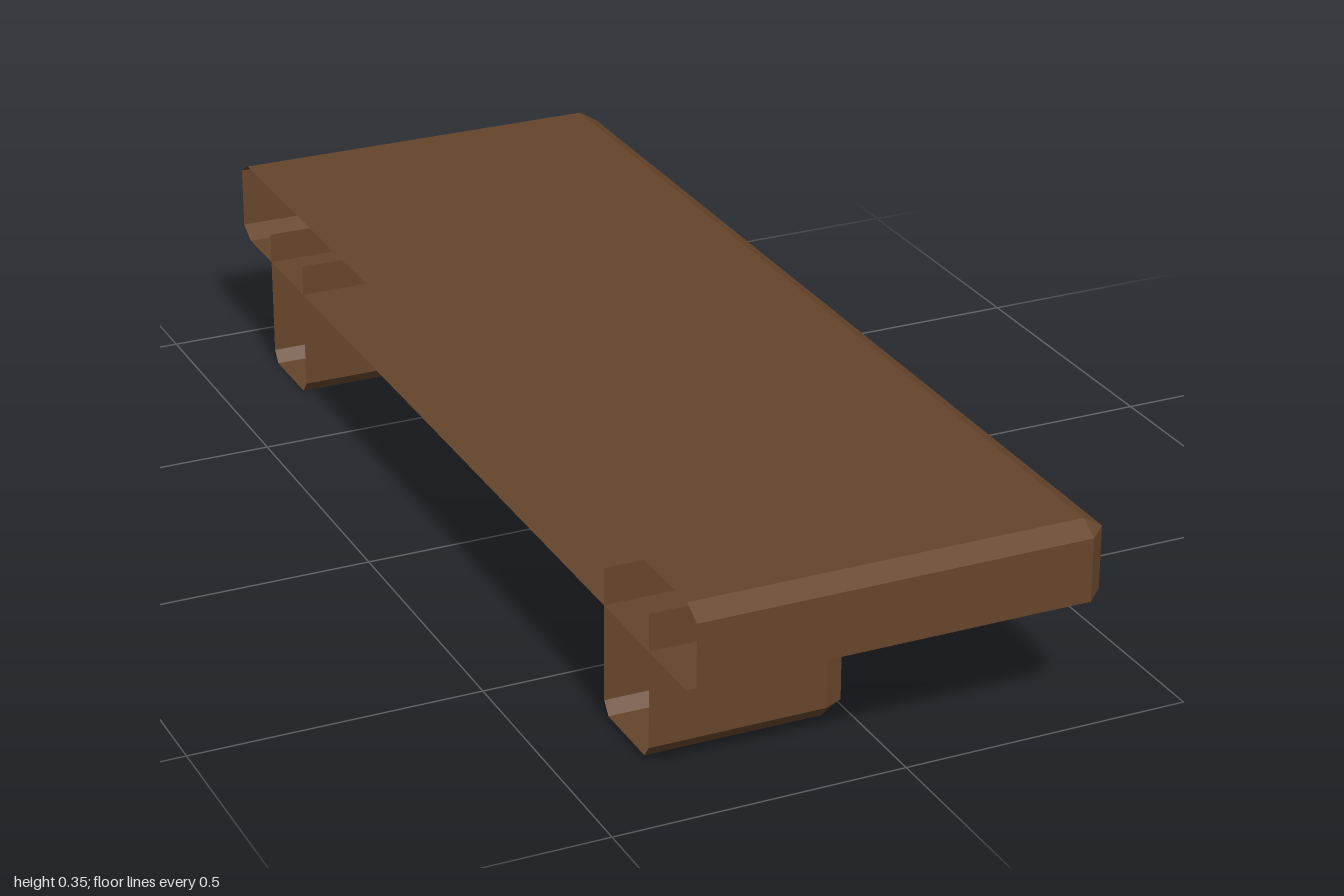
import * as THREE from 'three';

const wood = new THREE.MeshStandardMaterial({ color: 0x66452b, flatShading: true, side: THREE.DoubleSide });
wood.name = 'brownWood';

// Plan outline, open along the wall side (x0); inset rings collapse the corner cuts.
function outline(x0, x1, z0, z1, cx, cz, y, inset) {
  const pts = inset
    ? [[x0, z1 - cz], [x1 - cx, z1 - cz], [x1 - cx, z1 - cz], [x1 - cx, z0 + cz], [x1 - cx, z0 + cz], [x0, z0 + cz]]
    : [[x0, z1], [x1 - cx, z1], [x1, z1 - cz], [x1, z0 + cz], [x1 - cx, z0], [x0, z0]];
  return pts.map(([x, z]) => [x, y, z]);
}

// Joins rings from bottom to top, with optional flat caps.
function loft(rings, capTop) {
  const pos = [];
  const tri = (a, b, c) => {
    const same = (p, q) => p.every((v, i) => v === q[i]);
    if (!same(a, b) && !same(b, c) && !same(a, c)) pos.push(...a, ...b, ...c);
  };
  for (let r = 0; r < rings.length - 1; r++) {
    const lo = rings[r], hi = rings[r + 1];
    for (let i = 0; i < lo.length - 1; i++) {
      tri(lo[i], lo[i + 1], hi[i + 1]);
      tri(lo[i], hi[i + 1], hi[i]);
    }
  }
  const bottom = rings[0], top = rings[rings.length - 1];
  for (let i = 1; i < bottom.length - 1; i++) {
    tri(bottom[0], bottom[i + 1], bottom[i]);
    if (capTop) tri(top[0], top[i], top[i + 1]);
  }
  const g = new THREE.BufferGeometry();
  g.setAttribute('position', new THREE.Float32BufferAttribute(pos, 3));
  g.computeVertexNormals();
  return g;
}

function addPart(group, name, geometry) {
  const mesh = new THREE.Mesh(geometry, wood);
  mesh.name = name;
  group.add(mesh);
}

export function createModel() {
  const group = new THREE.Group();
  group.name = 'wallShelf';

  // Bevelled plank, hollow and open at the wall side
  const plank = (y, inset) => outline(-0.357, 0.355, -0.999, 0.999, 0.034, 0.034, y, inset);
  addPart(group, 'plank', loft([plank(0.2, true), plank(0.22, false), plank(0.33, false), plank(0.35, true)], true));

  // Two bevelled brackets running up into the plank, open at the wall side
  for (const [name, z, y] of [['frontBracket', 0.745, 0.01], ['backBracket', -0.767, 0]]) {
    const ring = (h, inset) => outline(-0.357, -0.016, z - 0.084, z + 0.084, 0.034, 0.016, h, inset);
    addPart(group, name, loft([ring(y, true), ring(y + 0.021, false), ring(y + 0.255, false)], false));
  }

  // The shelf sits very slightly askew
  group.rotation.y = -0.003;
  return group;
}
